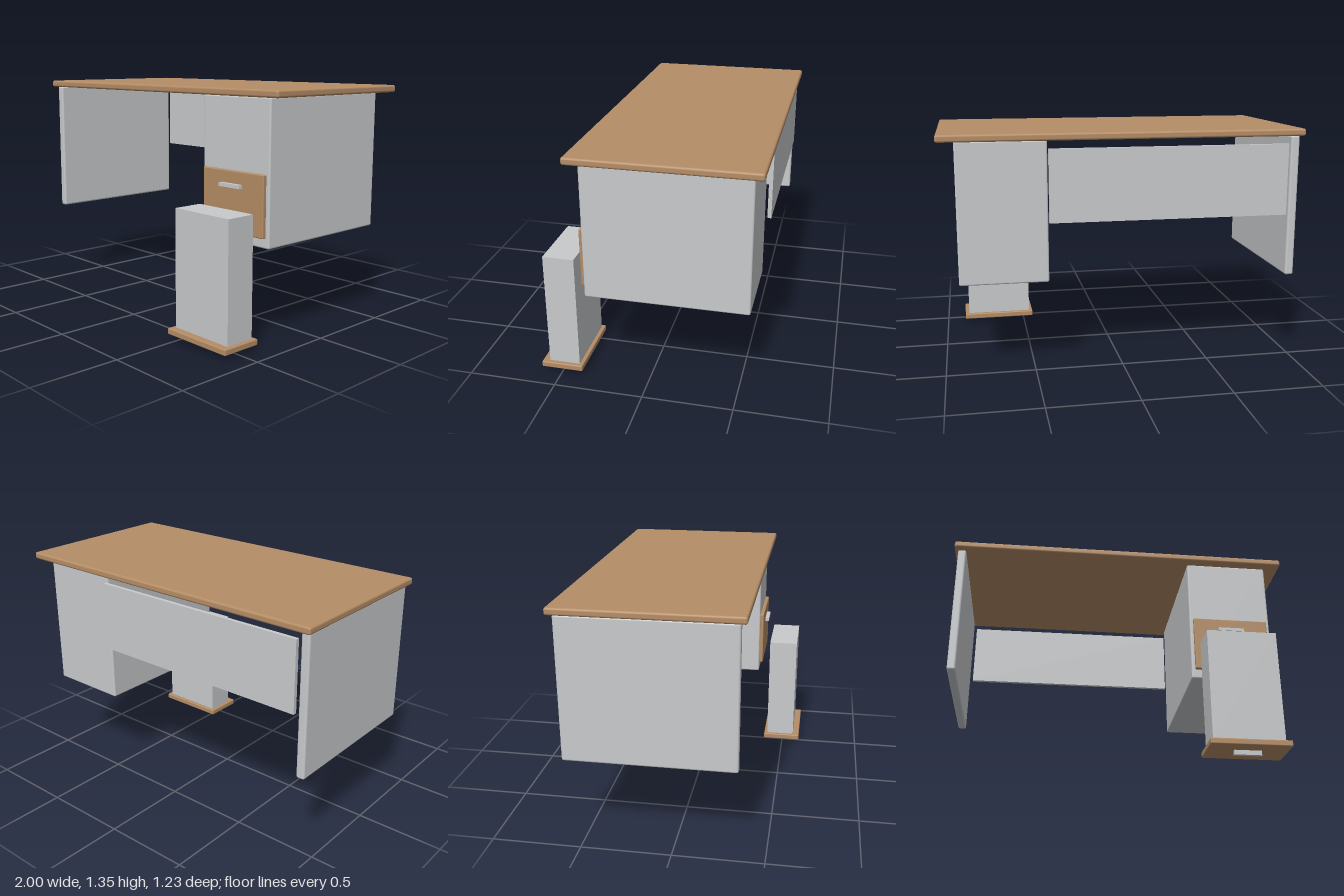
import * as THREE from 'three';
import { RoundedBoxGeometry } from 'three/addons/geometries/RoundedBoxGeometry.js';

export function createModel() {
  const wood = new THREE.MeshStandardMaterial({ name: 'wood', color: 0xb58d66 });
  const grey = new THREE.MeshStandardMaterial({ name: 'light grey', color: 0xc8cacc });
  const desk = new THREE.Group();
  desk.name = 'desk';

  // Box given by its extents on each axis; a radius rounds its edges
  function box(parent, name, material, [x0, x1], [y0, y1], [z0, z1], radius = 0) {
    const size = [x1 - x0, y1 - y0, z1 - z0];
    const geometry = radius
      ? new RoundedBoxGeometry(...size, 3, radius)
      : new THREE.BoxGeometry(...size);
    const mesh = new THREE.Mesh(geometry, material);
    mesh.name = name;
    mesh.position.set((x0 + x1) / 2, (y0 + y1) / 2, (z0 + z1) / 2);
    parent.add(mesh);
  }

  // Desk body
  box(desk, 'tabletop', wood, [-1, 1], [1.306, 1.346], [-0.615, 0.382], 0.012);
  box(desk, 'sidePanel', grey, [-0.98, -0.93], [0.508, 1.306], [-0.582, 0.35], 0.012);
  box(desk, 'pedestal', grey, [0.422, 0.908], [0.53, 1.306], [-0.56, 0.33], 0.01);
  box(desk, 'modestyPanel', grey, [-0.912, 0.42], [0.864, 1.262], [-0.594, -0.572]);

  // Drawer front fitted in the pedestal
  const fitted = new THREE.Group();
  fitted.name = 'fittedDrawer';
  box(fitted, 'drawerFront', wood, [0.443, 0.886], [0.585, 0.916], [0.326, 0.352], 0.006);
  box(fitted, 'drawerHandle', grey, [0.588, 0.738], [0.829, 0.849], [0.35, 0.376]);
  desk.add(fitted);

  // Separate drawer standing on its front
  const loose = new THREE.Group();
  loose.name = 'looseDrawer';
  box(loose, 'drawerBox', grey, [0.465, 0.862], [0.058, 0.718], [0.398, 0.574]);
  box(loose, 'drawerFront', wood, [0.443, 0.886], [0.026, 0.06], [0.377, 0.615], 0.006);
  box(loose, 'drawerHandle', grey, [0.588, 0.738], [0, 0.027], [0.509, 0.529]);
  desk.add(loose);

  return desk;
}
